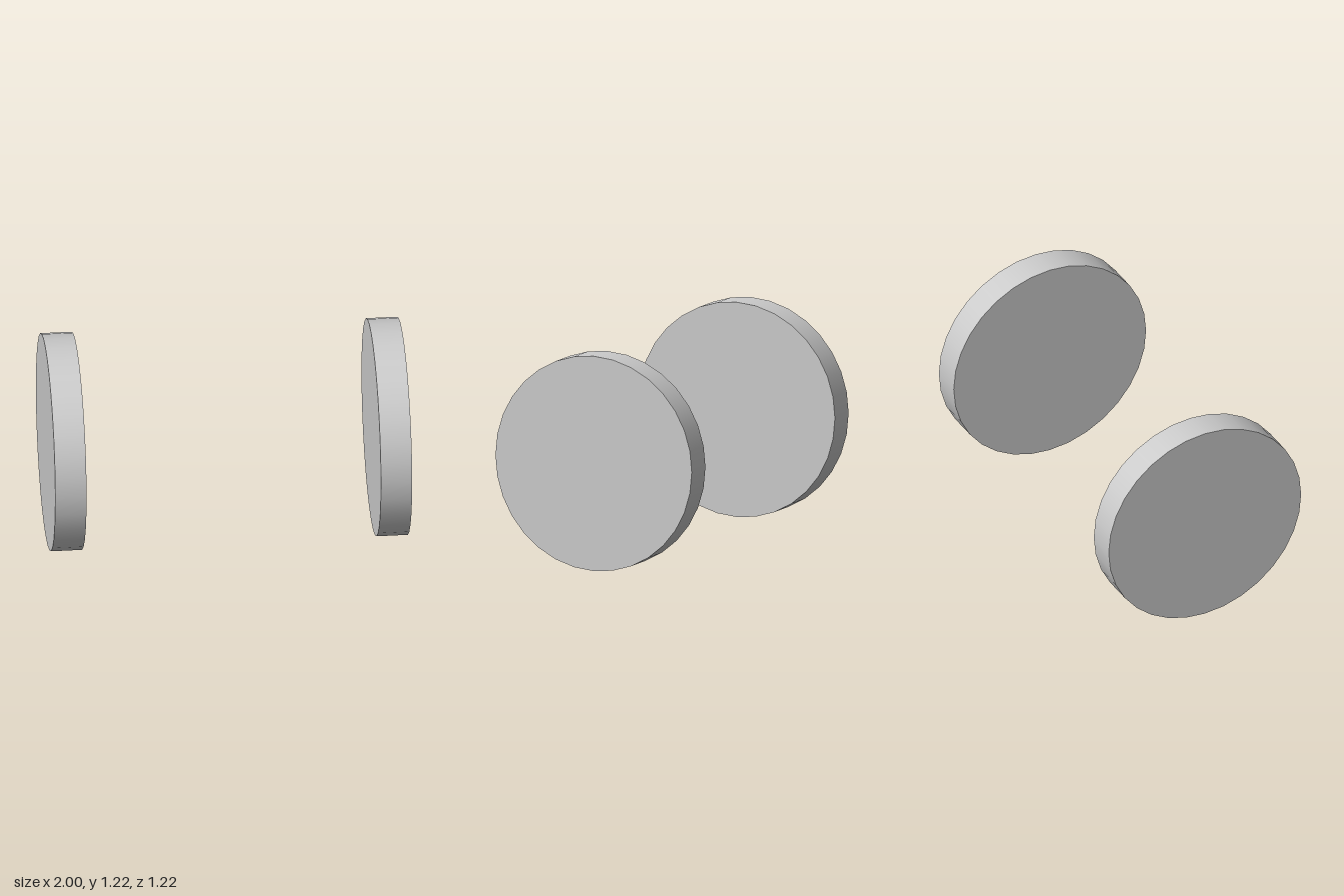
import * as THREE from 'three';

const RADIUS = 0.61;
const WIDTH = 0.175;

export function createModel() {
  const group = new THREE.Group();
  group.name = 'wheelPair';
  const material = new THREE.MeshStandardMaterial({ color: 0xcccccc });

  // Solid disc lying on the x axis, smooth rim with sharp flat caps
  const disc = new THREE.CylinderGeometry(RADIUS, RADIUS, WIDTH, 32);
  disc.rotateZ(Math.PI / 2);

  // One wheel on each side, outer faces at x = -1 and x = 1
  for (const [name, side] of [['leftWheel', 1], ['rightWheel', -1]]) {
    const wheel = new THREE.Mesh(disc, material);
    wheel.name = name;
    wheel.position.set(side * (1 - WIDTH / 2), RADIUS, 0);
    group.add(wheel);
  }
  return group;
}
